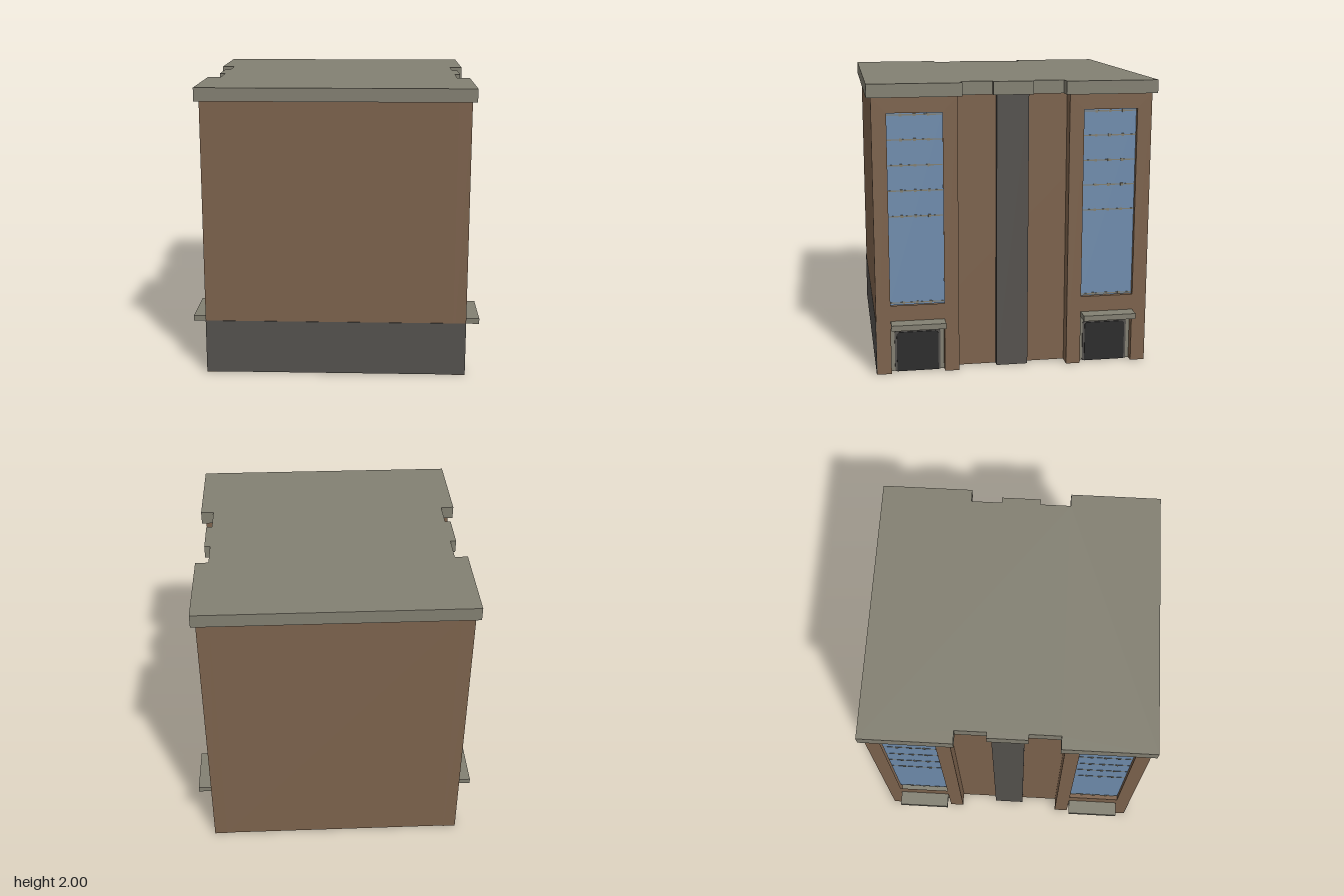
import * as THREE from 'three';

const mat = (name, color) => {
  const m = new THREE.MeshStandardMaterial({ color });
  m.name = name;
  return m;
};

export function createModel() {
  const brick = mat('brown brick', 0x7d634d);
  const stone = mat('grey stone', 0x838072);
  const slate = mat('dark grey', 0x55524e);
  const glass = mat('blue glass', 0x708dae);
  const black = mat('door black', 0x2d2d2d);

  const model = new THREE.Group();
  model.name = 'building';

  // Box given by its min and max along each axis
  const box = (parent, name, m, [x0, x1], [y0, y1], [z0, z1]) => {
    const mesh = new THREE.Mesh(new THREE.BoxGeometry(x1 - x0, y1 - y0, z1 - z0), m);
    mesh.position.set((x0 + x1) / 2, (y0 + y1) / 2, (z0 + z1) / 2);
    mesh.name = name;
    parent.add(mesh);
    return mesh;
  };
  const polygon = (pts) => new THREE.Shape(pts.map(([x, y]) => new THREE.Vector2(x, y)));
  const extrude = (shape, depth) =>
    new THREE.ExtrudeGeometry(shape, { depth, bevelEnabled: false });

  // Main block and the dark plinth on the front
  box(model, 'mainBlock', brick, [-0.81, 0.81], [0.004, 1.91], [-0.95, 0.95]);
  box(model, 'frontPlinth', slate, [-0.9, 0.9], [0.004, 0.38], [0.948, 0.953]);

  // Flat roof whose edge follows the recessed sides
  const edge = [[0.93, 0.98], [0.93, 0.35], [0.84, 0.35], [0.84, 0.137], [0.88, 0.137]];
  const rightEdge = [...edge, ...edge.map(([x, z]) => [x, -z]).reverse()];
  const outline = [...rightEdge, ...rightEdge.map(([x, z]) => [-x, -z])];
  const roof = new THREE.Mesh(extrude(polygon(outline), 0.09), stone);
  roof.geometry.rotateX(-Math.PI / 2);
  roof.position.y = 1.91;
  roof.name = 'roof';
  model.add(roof);

  // Wall wing with a window hole and a doorway notch, centred on its bay
  const wingGeometry = (s) => {
    const shape = polygon([
      [0.38, 0], [0.48, 0], [0.48, 0.36], [0.85, 0.36],
      [0.85, 0], [0.95, 0], [0.95, 1.91], [0.38, 1.91],
    ].map(([x, y]) => [x * s, y]));
    const hole = new THREE.Path();
    hole.setFromPoints([[0.48, 0.49], [0.85, 0.49], [0.85, 1.805], [0.48, 1.805]]
      .map(([x, y]) => new THREE.Vector2(x * s, y)));
    shape.holes.push(hole);
    return extrude(shape, 0.09).rotateY(Math.PI / 2);
  };

  // Door slab with chamfered upper corners
  const doorSlab = (parent, name, m, halfWidth, height, c, x, z, depth) => {
    const mesh = new THREE.Mesh(extrude(polygon([
      [-halfWidth, 0], [halfWidth, 0], [halfWidth, height - c], [halfWidth - c, height],
      [c - halfWidth, height], [-halfWidth, height - c],
    ]), depth).rotateY(Math.PI / 2), m);
    mesh.position.set(x, 0.002, z);
    mesh.name = name;
    parent.add(mesh);
  };

  const buildBay = (s) => {
    const bay = new THREE.Group();
    bay.name = 'bay';
    const wing = new THREE.Mesh(wingGeometry(-s), brick);
    wing.position.x = 0.81;
    wing.name = 'wingWall';
    bay.add(wing);

    const c = s * 0.665;
    const span = (half) => [c - half, c + half];
    // Tall window with slim bars and small studs
    box(bay, 'windowGlass', glass, [0.8, 0.87], [0.485, 1.81], span(0.188));
    for (const y of [0.5, 1.105, 1.28, 1.452, 1.624, 1.79]) {
      box(bay, 'windowBar', stone, [0.868, 0.872], [y - 0.004, y + 0.004], span(0.185));
      for (const d of [-0.093, 0, 0.093])
        box(bay, 'windowStud', stone, [0.868, 0.876], [y - 0.009, y + 0.009],
          [c + d - 0.009, c + d + 0.009]);
    }
    // Recessed doorway under a canopy
    box(bay, 'doorSurround', stone, [0.8, 0.85], [0.002, 0.345], span(0.184));
    doorSlab(bay, 'doorFrame', slate, 0.158, 0.3, 0.02, 0.848, c, 0.01);
    doorSlab(bay, 'doorPanel', black, 0.144, 0.283, 0.015, 0.856, c, 0.008);
    box(bay, 'canopy', stone, [0.83, 1], [0.342, 0.38], span(0.185));
    box(bay, 'canopySoffit', brick, [0.85, 0.995], [0.34, 0.343], span(0.18));
    return bay;
  };

  // Both long sides: two bays around a central pier
  for (const turn of [0, Math.PI]) {
    const side = new THREE.Group();
    side.name = turn ? 'rightSide' : 'leftSide';
    side.add(buildBay(1), buildBay(-1));
    box(side, 'centrePier', slate, [0.8, 0.85], [0, 1.91], [-0.11, 0.11]);
    side.rotation.y = turn;
    model.add(side);
  }

  // Thin blue panels on the underside
  for (const [x0, x1] of [[-0.8, -0.42], [-0.36, 0.05]])
    for (const z of [-0.61, 0, 0.61])
      box(model, 'undersidePanel', glass, [x0, x1], [0.001, 0.005], [z - 0.27, z + 0.27]);

  return model;
}
